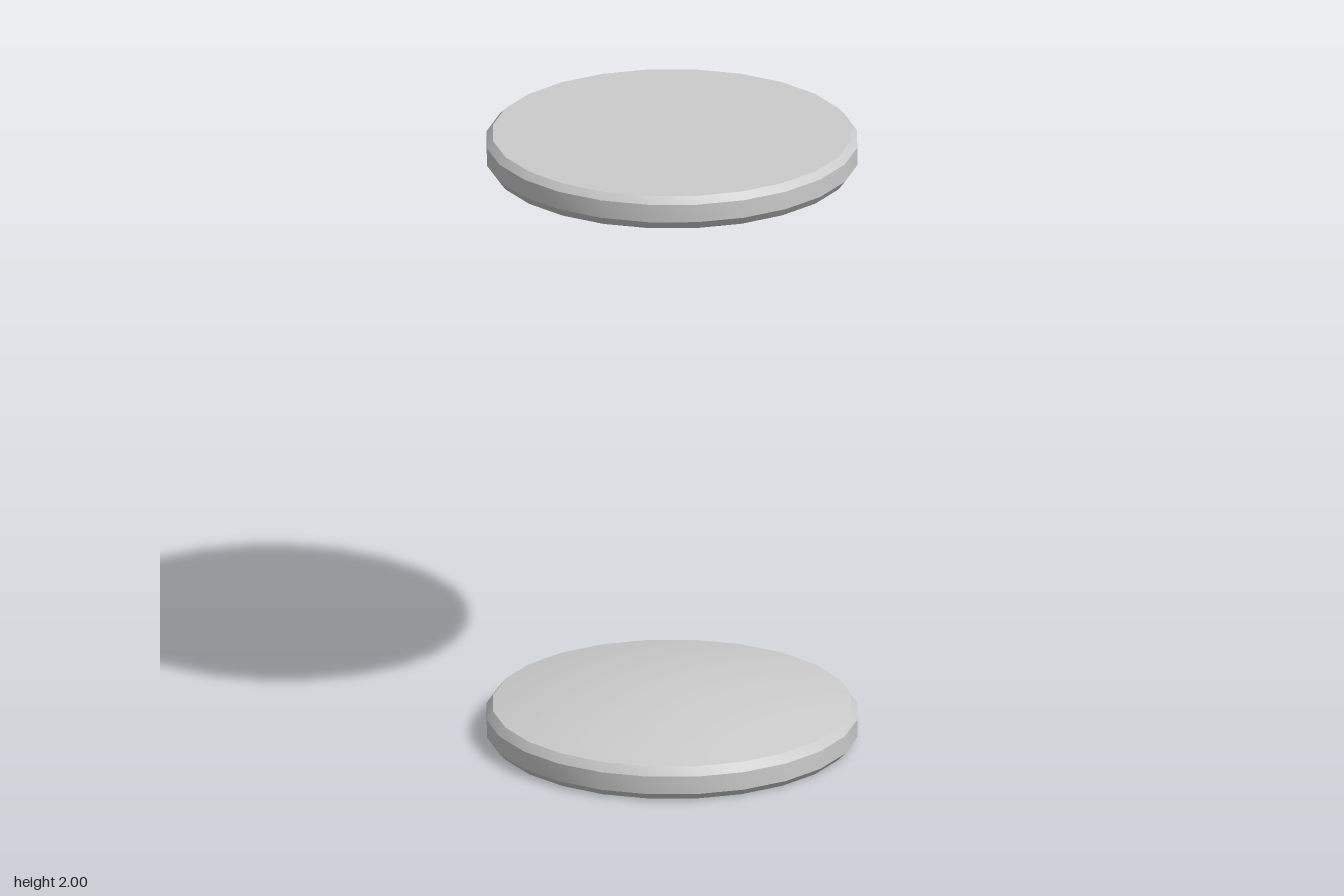
import * as THREE from 'three';
import { toCreasedNormals } from 'three/addons/utils/BufferGeometryUtils.js';

const SIDES = 24;
const HEIGHT = 2;

// Bevelled disc with a flat outer face and a shallow domed inner face
function discGeometry() {
  const profile = [[0, 0], [0.56, 0], [0.58, 0.022], [0.58, 0.08], [0.56, 0.107]];
  const domeSteps = 7;
  for (let i = 1; i <= domeSteps; i++) {
    const t = 1 - i / domeSteps;
    profile.push([0.56 * t, 0.107 + 0.065 * (1 - t * t)]);
  }
  const points = profile.map(([r, y]) => new THREE.Vector2(r, y));
  return toCreasedNormals(new THREE.LatheGeometry(points, SIDES), 0.4);
}

export function createModel() {
  const model = new THREE.Group();
  model.name = 'discPair';
  const material = new THREE.MeshStandardMaterial({ color: 0xcccccc });
  const geometry = discGeometry();

  // Lower disc, dome facing up
  const lower = new THREE.Mesh(geometry, material);
  lower.name = 'lowerDisc';

  // Upper disc, turned over so its dome faces down
  const upper = new THREE.Mesh(geometry, material);
  upper.name = 'upperDisc';
  upper.rotation.x = Math.PI;
  upper.position.y = HEIGHT;

  model.add(lower, upper);
  return model;
}
